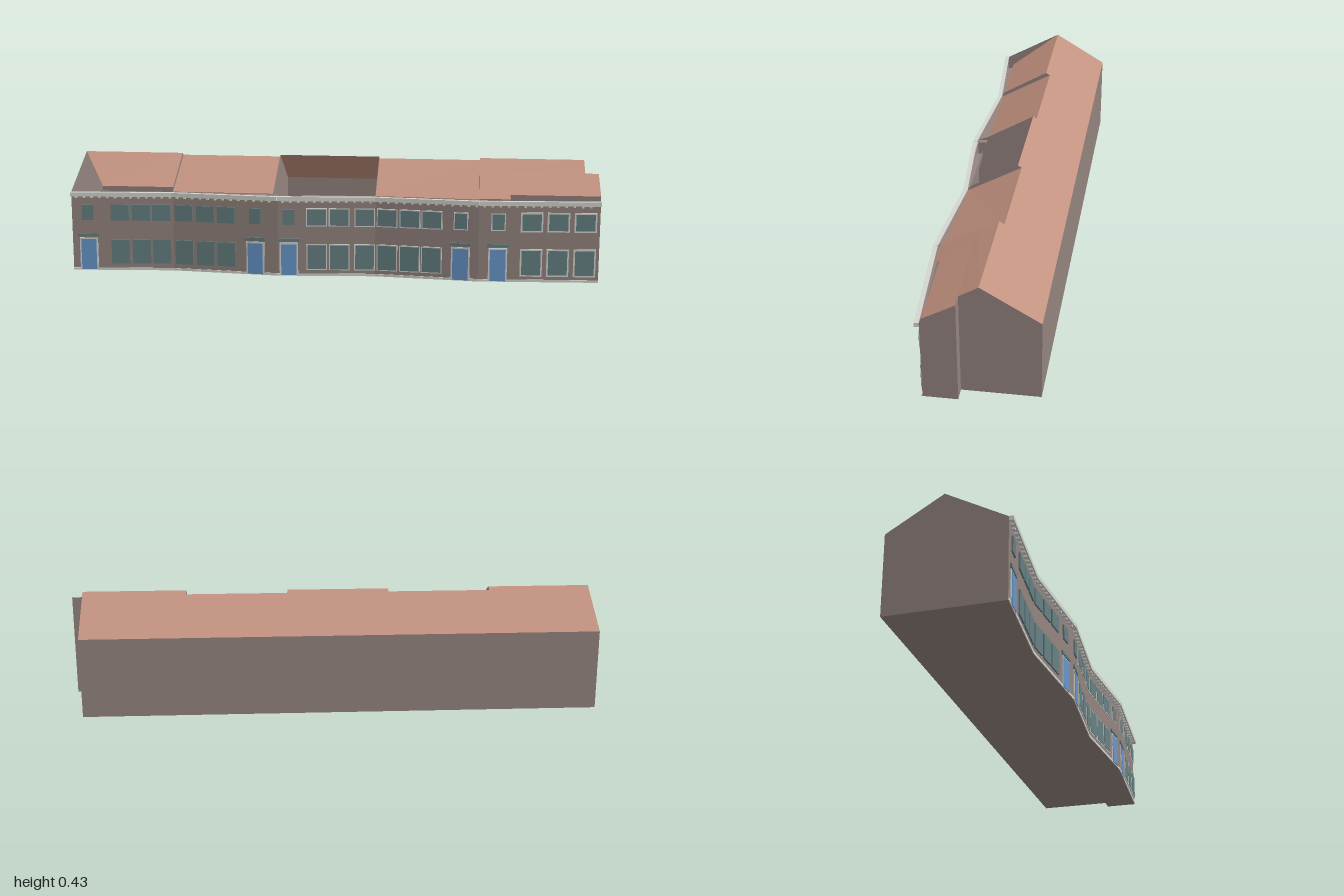
import * as THREE from 'three';

const mat = (name, color, double) => {
  const m = new THREE.MeshStandardMaterial({ color });
  m.name = name;
  if (double) m.side = THREE.DoubleSide;
  return m;
};

export function createModel() {
  const model = new THREE.Group();
  const wall = mat('brick', 0x94847f, true);
  const tile = mat('roofTile', 0xc39280, true);
  const trim = mat('trim', 0xd4d5d0);
  const glass = mat('glass', 0x668082);
  const blue = mat('doorBlue', 0x6896cb);

  // Flat convex polygon as a triangle fan
  const poly = (name, material, pts) => {
    const g = new THREE.BufferGeometry();
    const v = [];
    for (let i = 1; i < pts.length - 1; i++) v.push(...pts[0], ...pts[i], ...pts[i + 1]);
    g.setAttribute('position', new THREE.Float32BufferAttribute(v, 3));
    g.computeVertexNormals();
    const m = new THREE.Mesh(g, material);
    m.name = name;
    model.add(m);
  };

  const EAVE = 0.306, UP = 0.325;
  const front = [[-1, 0.192], [-0.61, 0.165], [-0.2, 0.205], [0.168, 0.178], [0.555, 0.217], [1, 0.192]];
  const backZ = x => -0.2196 + 0.0154 * x;
  const frontZ = x => {
    const i = Math.max(0, front.findIndex((p, k) => k < 5 && x <= front[k + 1][0]));
    const [a, b] = [front[i], front[i + 1]];
    return a[1] + (b[1] - a[1]) * (x - a[0]) / (b[0] - a[0]);
  };
  // Ridge point, always lying on the one back slope
  const ridge = (x, z) => [x, EAVE + (z - backZ(x)) * 0.605, z];

  // Outer walls and floor
  for (let i = 0; i < 5; i++) {
    const [a, b] = [front[i], front[i + 1]];
    poly('frontWall', wall, [[a[0], 0, a[1]], [b[0], 0, b[1]], [b[0], EAVE, b[1]], [a[0], EAVE, a[1]]]);
    const xe = Math.min(b[0], 0.95);
    poly('floor', wall, [[a[0], 0, backZ(a[0])], [xe, 0, backZ(xe)], [xe, 0, frontZ(xe)], [a[0], 0, a[1]]]);
  }
  poly('cornerFloor', wall, [[0.95, 0, 0.07], [1, 0, 0.07], [1, 0, 0.192], [0.95, 0, frontZ(0.95)]]);
  poly('backWall', wall, [[0.95, 0, backZ(0.95)], [-1, 0, backZ(-1)], [-1, EAVE, backZ(-1)], [0.95, EAVE, backZ(0.95)]]);

  // End gable and party walls: x, ridge z, upper eave z and y
  for (const [x, rz, ez, ey] of [[-1, -0.03, 0.19, 0.307], [-0.61, -0.024, 0.155, UP],
    [-0.22, -0.02, 0.165, 0.32], [0.168, -0.014, 0.165, UP], [0.556, -0.004, 0.205, 0.312]]) {
    const f = frontZ(x), b = backZ(x);
    poly(x === -1 ? 'leftGable' : 'partyWall', wall,
      [[x, 0, f], [x, EAVE, f], [x, ey, ez], ridge(x, rz), [x, EAVE, b], [x, 0, b]]);
  }
  // Stepped gable at the other end
  poly('rightGable', wall, [[0.95, 0, 0.07], [0.95, 0.39, 0.07], ridge(0.95, 0.002), [0.95, EAVE, backZ(0.95)], [0.95, 0, backZ(0.95)]]);
  poly('rightGableFront', wall, [[1, 0, 0.192], [1, EAVE, 0.192], [1, UP, 0.185], [1, 0.39, 0.07], [1, 0, 0.07]]);
  poly('gableReturn', wall, [[0.95, 0, 0.07], [1, 0, 0.07], [1, 0.39, 0.07], [0.95, 0.39, 0.07]]);

  // Back roof: start x, end x, ridge z at each
  for (const [x0, x1, z0, z1] of [[-1, -0.61, -0.03, -0.024], [-0.61, -0.22, -0.04, -0.034],
    [-0.22, 0.168, -0.02, -0.014], [0.168, 0.556, -0.028, -0.022], [0.556, 0.95, -0.004, 0.002]]) {
    poly('backRoof', tile, [ridge(x0, z0), ridge(x1, z1), [x1, EAVE, backZ(x1)], [x0, EAVE, backZ(x0)]]);
  }
  // Front roof; the third bay and the outer left corner stay open
  poly('frontRoof', tile, [[-0.885, UP, 0.155], [-0.61, UP, 0.155], ridge(-0.61, -0.024), ridge(-1, -0.03)]);
  poly('frontRoof', tile, [[-0.61, 0.308, 0.158], [-0.22, 0.308, 0.165], ridge(-0.22, -0.034), ridge(-0.61, -0.04)]);
  poly('frontRoof', tile, [[0.168, 0.308, 0.172], [0.556, 0.308, 0.2], ridge(0.556, -0.022), ridge(0.168, -0.028)]);
  poly('frontRoof', tile, [[0.556, 0.312, 0.207], [0.67, 0.312, 0.207], [0.67, 0.391, 0.07], [0.556, 0.391, 0.07]]);
  poly('frontRoof', tile, [[0.67, UP, 0.187], [1, UP, 0.185], [1, 0.39, 0.07], [0.67, 0.391, 0.07]]);
  poly('frontRoof', tile, [[0.556, 0.391, 0.07], [0.95, 0.39, 0.07], ridge(0.95, 0.002), ridge(0.556, -0.004)]);

  // Low upstands at the eaves
  for (const [x0, x1, z] of [[-0.885, -0.61, 0.155], [-0.11, 0.168, 0.165], [0.67, 1, 0.186]]) {
    poly('eaveUpstand', wall, [[x0, EAVE - 0.01, z], [x1, EAVE - 0.01, z], [x1, UP, z], [x0, UP, z]]);
  }
  // Ledges between roof edge and front wall
  for (const [x0, x1, z0, z1] of [[-0.885, -0.61, 0.155, 0.155], [-0.61, -0.2, 0.158, 0.165],
    [-0.11, 0.168, 0.165, 0.165], [0.168, 0.555, 0.172, 0.2], [0.555, 1, 0.207, 0.186]]) {
    poly('eaveLedge', wall, [[x0, EAVE, z0], [x0, EAVE, frontZ(x0)], [x1, EAVE, frontZ(x1)], [x1, EAVE, z1]]);
  }

  // One group per bay, with local x along the wall and z outward
  const bays = front.slice(0, 5).map(([x, z], i) => {
    const [bx, bz] = front[i + 1];
    const g = new THREE.Group();
    g.name = 'facadeBay';
    g.position.set(x, 0, z);
    g.rotation.y = -Math.atan2(bz - z, bx - x);
    model.add(g);
    const len = Math.hypot(bx - x, bz - z);
    return { g, x, len, scale: len / (bx - x) };
  });
  const plate = (bay, name, material, x0, x1, y0, y1, depth) => {
    const u0 = (x0 - bay.x) * bay.scale, u1 = (x1 - bay.x) * bay.scale;
    const m = new THREE.Mesh(new THREE.BoxGeometry(u1 - u0, y1 - y0, depth), material);
    m.position.set((u0 + u1) / 2, (y0 + y1) / 2, depth / 2);
    m.name = name;
    bay.g.add(m);
  };
  const bayAt = x => bays.filter(b => b.x <= x).pop();
  const framed = (name, material, c, w, y0, y1, frame) => {
    const bay = bayAt(c);
    if (frame) plate(bay, name + 'Frame', trim, c - w / 2 - frame, c + w / 2 + frame, y0 - (y0 > 0.01 ? frame : 0), y1 + frame, 0.004);
    plate(bay, name, material, c - w / 2, c + w / 2, y0, y1, 0.006);
  };

  // Cornice, dentils and plinth
  bays.forEach((bay, i) => {
    const x1 = front[i + 1][0];
    plate(bay, 'cornice', trim, bay.x, x1, 0.291, 0.307, 0.017);
    plate(bay, 'plinth', trim, bay.x, x1, 0, 0.009, 0.003);
    for (let x = bay.x + 0.015; x < x1 - 0.01; x += 0.03) plate(bay, 'dentil', trim, x, x + 0.008, 0.284, 0.291, 0.011);
  });

  // Windows on both floors
  for (const c of [-0.815, -0.733, -0.655, -0.567, -0.482, -0.4,
    -0.053, 0.032, 0.128, 0.213, 0.299, 0.381, 0.75, 0.848, 0.947]) {
    const f = c > 0.6 ? 0.006 : c > -0.1 ? 0.004 : 0;
    framed('upperWindow', glass, c, 0.07, 0.196, 0.258, f);
    framed('lowerWindow', glass, c, 0.07, 0.027, 0.12, f);
  }
  // Doors, each with a fanlight and a small window above
  for (const c of [-0.938, -0.287, -0.158, 0.489, 0.627]) {
    framed('door', blue, c, 0.058, 0.003, 0.122, 0.006);
    framed('fanlight', glass, c, 0.08, 0.132, 0.144, 0);
    framed('smallWindow', glass, c, 0.045, 0.198, 0.256, c > 0.4 ? 0.004 : 0);
  }
  return model;
}
